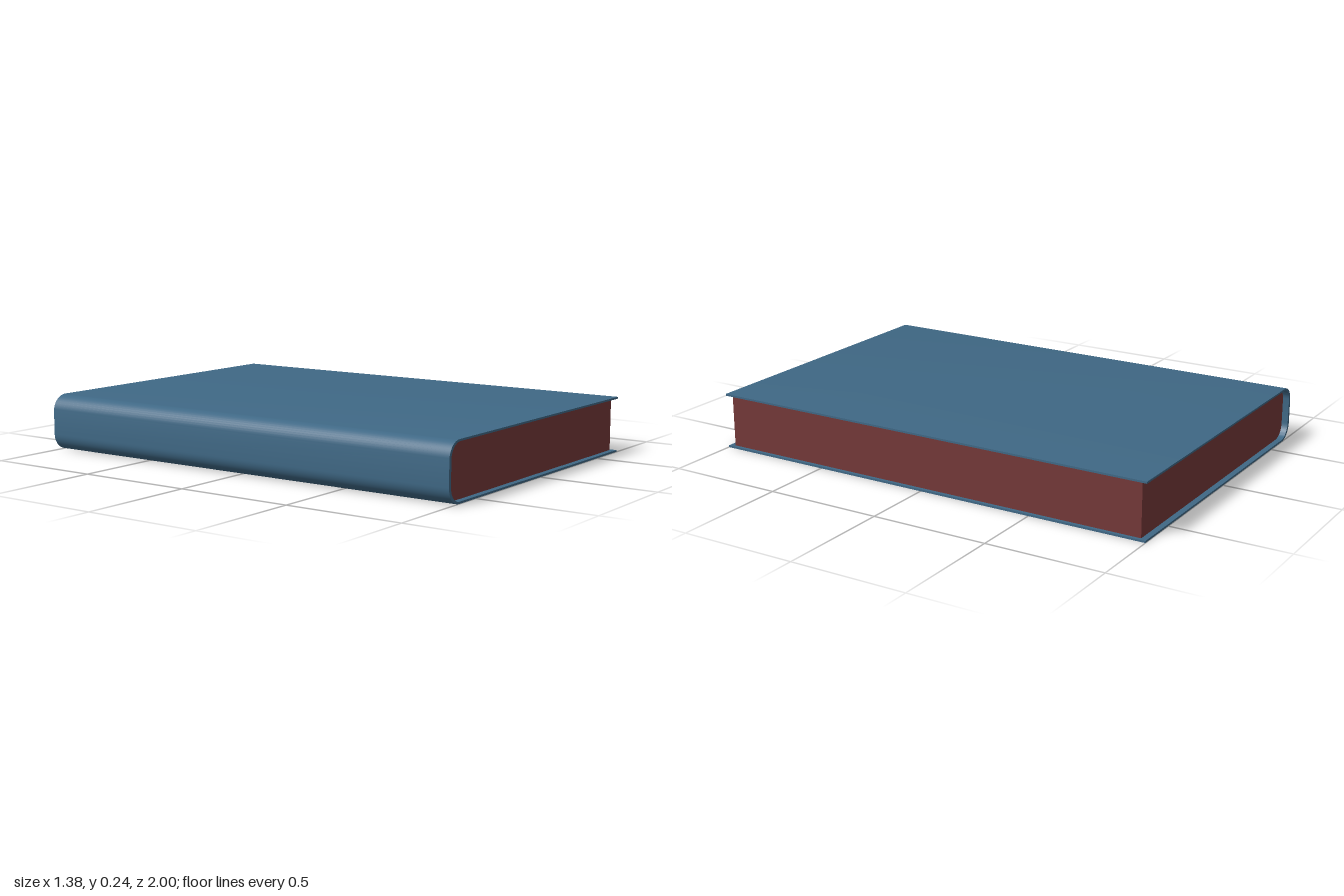
import * as THREE from 'three';
import { toCreasedNormals } from 'three/addons/utils/BufferGeometryUtils.js';

// Extrude a profile along z, centred, smooth on the curved spine only
function extrudeCentred(shape, length) {
  const geometry = new THREE.ExtrudeGeometry(shape, { depth: length, bevelEnabled: false, curveSegments: 6 });
  geometry.translate(0, 0, -length / 2);
  return toCreasedNormals(geometry, 0.6);
}

export function createModel() {
  const book = new THREE.Group();
  book.name = 'book';

  const coverBlue = new THREE.MeshStandardMaterial({ color: 0x3f6885 });
  coverBlue.name = 'coverBlue';
  const pageRed = new THREE.MeshStandardMaterial({ color: 0x743838 });
  pageRed.name = 'pageRed';

  const right = 0.69, height = 0.24, board = 0.008, spine = 0.014;
  const outer = 0.07, inner = 0.062;
  const PI = Math.PI;

  // Cover: one thin sheet wrapped round the spine, open at the fore edge
  const cover = new THREE.Shape();
  cover.moveTo(right, 0);
  cover.lineTo(right, board);
  cover.lineTo(-right + spine + inner, board);
  cover.absarc(-right + spine + inner, board + inner, inner, -PI / 2, -PI, true);
  cover.lineTo(-right + spine, height - board - inner);
  cover.absarc(-right + spine + inner, height - board - inner, inner, PI, PI / 2, true);
  cover.lineTo(right, height - board);
  cover.lineTo(right, height);
  cover.lineTo(-right + outer, height);
  cover.absarc(-right + outer, height - outer, outer, PI / 2, PI, false);
  cover.lineTo(-right, outer);
  cover.absarc(-right + outer, outer, outer, PI, PI * 1.5, false);
  cover.closePath();
  const coverMesh = new THREE.Mesh(extrudeCentred(cover, 2), coverBlue);
  coverMesh.name = 'cover';
  book.add(coverMesh);

  // Page block: set back from the cover edges, rounded at the spine
  const x0 = -0.669, x1 = 0.675, y0 = board, y1 = height - board, r = 0.06;
  const pages = new THREE.Shape();
  pages.moveTo(x1, y0);
  pages.lineTo(x1, y1);
  pages.lineTo(x0 + r, y1);
  pages.absarc(x0 + r, y1 - r, r, PI / 2, PI, false);
  pages.lineTo(x0, y0 + r);
  pages.absarc(x0 + r, y0 + r, r, PI, PI * 1.5, false);
  pages.closePath();
  const pageMesh = new THREE.Mesh(extrudeCentred(pages, 1.95), pageRed);
  pageMesh.name = 'pageBlock';
  book.add(pageMesh);

  return book;
}
